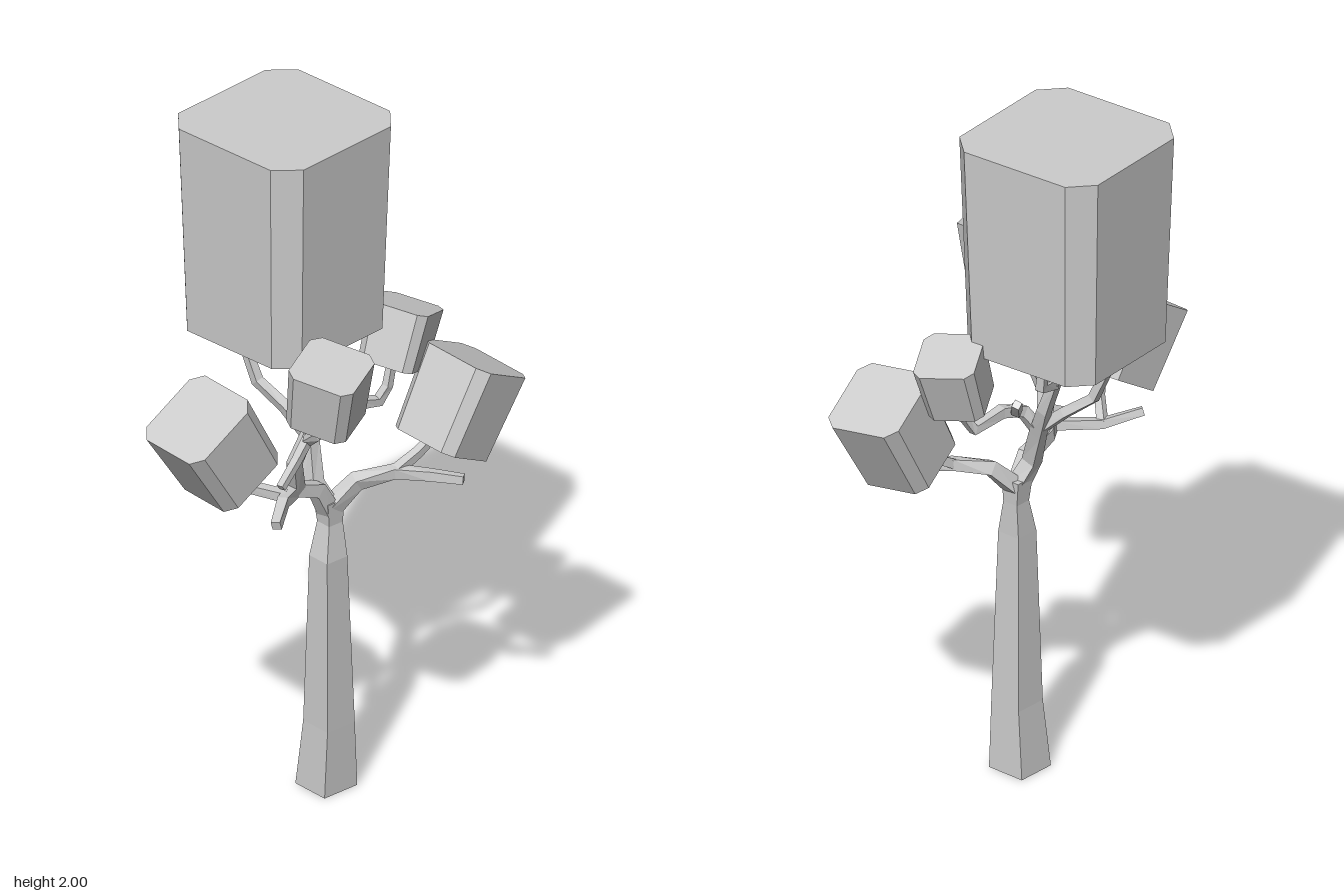
import * as THREE from 'three';

const material = new THREE.MeshStandardMaterial({ color: 0xcccccc, flatShading: true });
const UP = new THREE.Vector3(0, 1, 0);

function addMesh(parent, name, geometry) {
  const mesh = new THREE.Mesh(geometry, material);
  mesh.name = name;
  parent.add(mesh);
  return mesh;
}

// Tapered four-sided limb through stations [x, y, z, half width]
function limbGeometry(stations, yaw = 0, axis = null) {
  const pts = stations.map(([x, y, z]) => new THREE.Vector3(x, y, z));
  const last = pts.length - 1;
  const overall = pts[last].clone().sub(pts[0]).normalize();
  const ref = Math.abs(overall.z) > 0.8 ? new THREE.Vector3(1, 0, 0) : new THREE.Vector3(0, 0, 1);

  const rings = pts.map((p, i) => {
    const before = p.clone().sub(pts[Math.max(i - 1, 0)]).normalize();
    const after = pts[Math.min(i + 1, last)].clone().sub(p).normalize();
    const t = axis ? axis.clone() : before.add(after).normalize();
    const u = t.clone().cross(ref).normalize();
    const v = t.clone().cross(u);
    const r = stations[i][3] * Math.SQRT2;
    return [0, 1, 2, 3].map((k) => {
      const a = Math.PI / 4 + k * Math.PI / 2 + yaw;
      return p.clone().addScaledVector(u, r * Math.cos(a)).addScaledVector(v, r * Math.sin(a));
    });
  });

  const tris = [];
  const quad = (a, b, c, d) => tris.push(a, b, c, a, c, d);
  for (let i = 0; i < last; i++) {
    for (let k = 0; k < 4; k++) {
      const n = (k + 1) % 4;
      quad(rings[i][k], rings[i][n], rings[i + 1][n], rings[i + 1][k]);
    }
  }
  quad(...rings[0].slice().reverse());
  quad(...rings[last]);
  const geometry = new THREE.BufferGeometry().setFromPoints(tris);
  geometry.computeVertexNormals();
  return geometry;
}

// Foliage block: square with cut corners, narrower at the bottom
function foliageGeometry(width, height) {
  const h = width / 2;
  const c = h - width * 0.135;
  const shape = new THREE.Shape([
    [h, -c], [h, c], [c, h], [-c, h], [-h, c], [-h, -c], [-c, -h], [c, -h],
  ].map(([x, y]) => new THREE.Vector2(x, y)));
  const geometry = new THREE.ExtrudeGeometry(shape, { depth: height, bevelEnabled: false });
  geometry.rotateX(-Math.PI / 2).translate(0, -height / 2, 0);
  const pos = geometry.attributes.position;
  for (let i = 0; i < pos.count; i++) {
    if (pos.getY(i) < 0) pos.setXYZ(i, pos.getX(i) * 0.92, pos.getY(i), pos.getZ(i) * 0.92);
  }
  geometry.computeVertexNormals();
  return geometry;
}

export function createModel() {
  const tree = new THREE.Group();
  tree.name = 'tree';

  // Trunk, flared at the foot
  addMesh(tree, 'trunk', limbGeometry([
    [0.033, 0, 0.01, 0.06], [0.033, 0.2, 0.02, 0.05], [0.024, 0.72, 0.026, 0.037],
    [0.037, 0.82, 0.02, 0.025], [0.035, 0.89, 0.018, 0.03],
  ], -0.08, UP));

  // Branches, each ending in a foliage block or a bare tip
  const branches = {
    leftBough: [[0.035, 0.85, 0.02, 0.024], [-0.015, 0.94, 0.02, 0.021],
      [-0.1, 0.97, 0.015, 0.018], [-0.18, 0.975, 0.05, 0.015], [-0.26, 0.95, 0.1, 0.013]],
    leftBackTwig: [[-0.15, 0.975, 0.03, 0.014], [-0.21, 0.99, -0.09, 0.013], [-0.29, 1.02, -0.17, 0.011]],
    leftFoliageStem: [[-0.21, 0.99, -0.09, 0.012], [-0.25, 1.05, -0.05, 0.011], [-0.29, 1.13, -0.03, 0.01]],
    leftRiser: [[-0.09, 0.965, 0.015, 0.018], [-0.135, 1.08, 0.05, 0.016],
      [-0.11, 1.18, 0.08, 0.014], [-0.055, 1.29, 0.09, 0.011]],
    frontFoliageStem: [[-0.115, 1.17, 0.08, 0.013], [-0.18, 1.2, 0.14, 0.013],
      [-0.205, 1.25, 0.21, 0.011], [-0.21, 1.34, 0.24, 0.01]],
    frontTwig: [[-0.18, 1.2, 0.14, 0.012], [-0.25, 1.17, 0.165, 0.011], [-0.32, 1.12, 0.175, 0.01]],
    rightBough: [[0.035, 0.86, 0.02, 0.024], [0.1, 0.935, 0.06, 0.02],
      [0.18, 0.96, 0.13, 0.016], [0.24, 0.955, 0.21, 0.014], [0.29, 0.95, 0.285, 0.012]],
    rightFoliageStem: [[0.18, 0.96, 0.13, 0.014], [0.25, 1.0, 0.15, 0.012], [0.32, 1.06, 0.175, 0.01]],
    middleBough: [[0.035, 0.86, 0.02, 0.024], [0.005, 0.94, -0.01, 0.021],
      [0.03, 1.05, -0.05, 0.019], [0.055, 1.14, -0.09, 0.016], [0.06, 1.24, -0.13, 0.014],
      [0.03, 1.31, -0.19, 0.013], [0.025, 1.39, -0.22, 0.011]],
    crownFork: [[0.06, 1.24, -0.13, 0.014], [0.135, 1.26, -0.14, 0.013], [0.14, 1.39, -0.16, 0.011]],
    crownTwig: [[0.1, 1.25, -0.135, 0.011], [0.11, 1.31, -0.09, 0.011], [0.105, 1.39, -0.08, 0.01]],
    backBranch: [[0.03, 1.06, -0.05, 0.016], [0.015, 1.13, -0.13, 0.014],
      [-0.01, 1.19, -0.21, 0.013], [-0.015, 1.31, -0.265, 0.011]],
    sideBranch: [[0.03, 1.06, -0.05, 0.016], [0.06, 1.12, -0.02, 0.016], [0.13, 1.14, 0, 0.015],
      [0.23, 1.12, 0.02, 0.013], [0.255, 1.16, 0.03, 0.011], [0.275, 1.24, 0.03, 0.01]],
    sideTwig: [[0.08, 1.13, -0.01, 0.013], [0.14, 1.16, -0.06, 0.012], [0.18, 1.21, -0.09, 0.011]],
  };
  for (const [name, stations] of Object.entries(branches)) {
    addMesh(tree, name, limbGeometry(stations));
  }

  // Foliage blocks: centre, growth direction, yaw in degrees, width, height
  const foliage = [
    ['crownFoliage', [0.042, 1.685, -0.157], [0, 1, 0], 0, 0.475, 0.63],
    ['rightFoliage', [0.372, 1.125, 0.187], [0.46, 0.88, 0.08], 4, 0.235, 0.256],
    ['smallRightFoliage', [0.302, 1.305, 0.03], [0.33, 0.93, 0], 22, 0.175, 0.17],
    ['leftFoliage', [-0.363, 1.19, -0.037], [-0.52, 0.85, -0.04], -6, 0.245, 0.24],
    ['frontFoliage', [-0.225, 1.415, 0.265], [-0.11, 0.95, 0.22], 20, 0.195, 0.185],
  ];
  for (const [name, centre, direction, yaw, width, height] of foliage) {
    const block = addMesh(tree, name, foliageGeometry(width, height));
    const spin = new THREE.Quaternion().setFromAxisAngle(UP, THREE.MathUtils.degToRad(yaw));
    block.quaternion.setFromUnitVectors(UP, new THREE.Vector3(...direction).normalize()).multiply(spin);
    block.position.set(...centre);
  }
  return tree;
}
